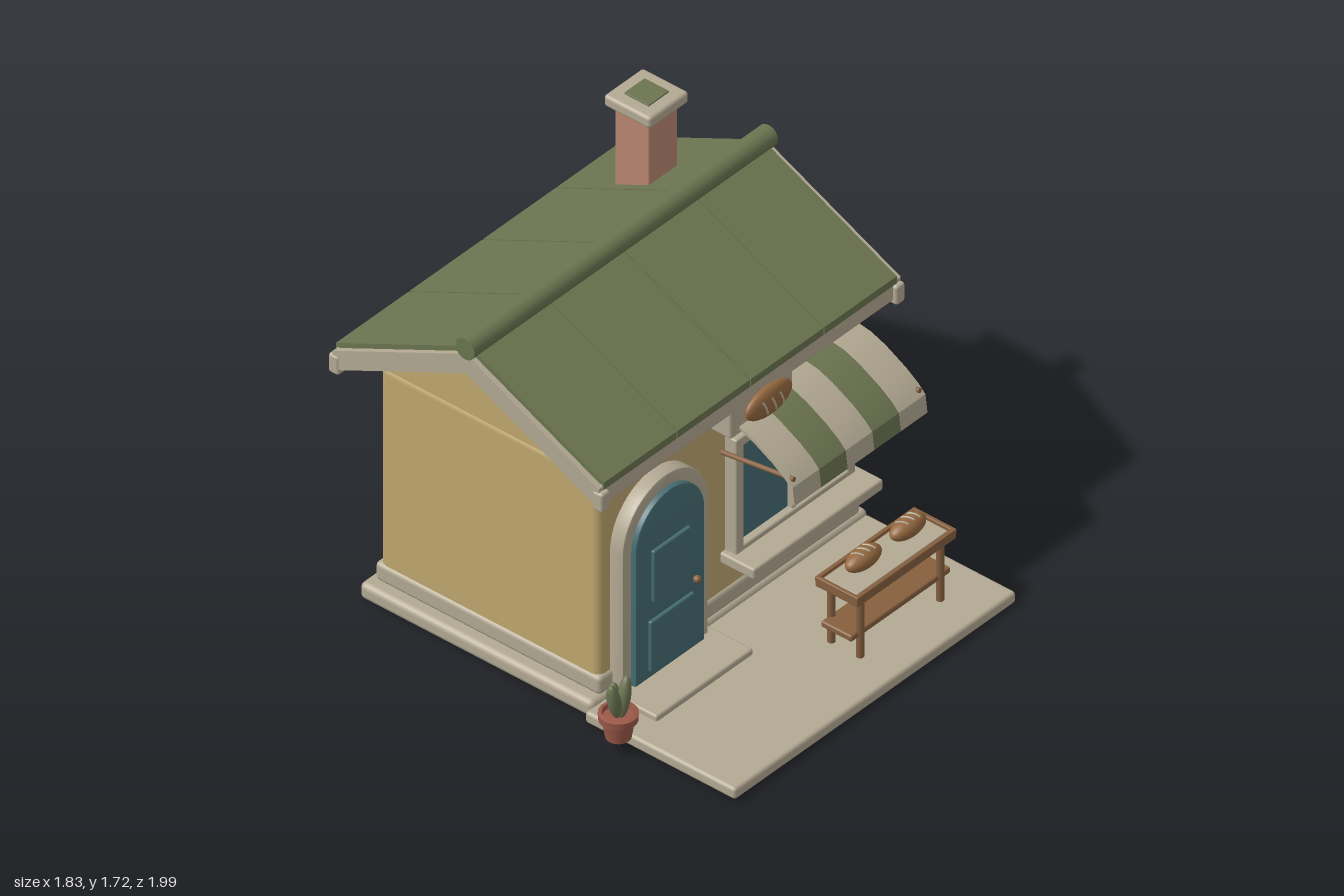
import * as THREE from 'three';
import { RoundedBoxGeometry } from 'three/addons/geometries/RoundedBoxGeometry.js';
import { toCreasedNormals } from 'three/addons/utils/BufferGeometryUtils.js';

const material = (name, color) => Object.assign(new THREE.MeshStandardMaterial({ color }), { name });
const wall = material('ochre plaster', 0xbea66e);
const trim = material('pale stone', 0xb3a993);
const green = material('olive green', 0x6b7450);
const teal = material('teal', 0x456d73);
const wood = material('wood', 0x86603f);
const crust = material('bread crust', 0x94683f);
const brick = material('chimney brick', 0xb98570);
const clay = material('terracotta', 0x9a5848);

function add(parent, name, geometry, mat) {
  const mesh = new THREE.Mesh(geometry, mat);
  mesh.name = name;
  parent.add(mesh);
  return mesh;
}

// Box from its limits on each axis, with softened edges
function box(parent, name, mat, [x0, x1], [y0, y1], [z0, z1], r = 0.008) {
  const size = [x1 - x0, y1 - y0, z1 - z0];
  const radius = Math.min(r, Math.min(...size) * 0.45);
  const mesh = add(parent, name, new RoundedBoxGeometry(...size, 2, radius), mat);
  mesh.position.set((x0 + x1) / 2, (y0 + y1) / 2, (z0 + z1) / 2);
  return mesh;
}

// Profile of [z, y] points swept along x from x0 to x1
function sweepX(parent, name, mat, points, x0, x1) {
  const shape = new THREE.Shape(points.map(p => new THREE.Vector2(...p)));
  const geo = new THREE.ExtrudeGeometry(shape, { depth: x1 - x0, bevelEnabled: false });
  geo.rotateY(-Math.PI / 2).translate(x1, 0, 0);
  return add(parent, name, toCreasedNormals(geo, 0.6), mat);
}

function rod(parent, name, mat, a, b, r) {
  const from = new THREE.Vector3(...a), dir = new THREE.Vector3(...b).sub(from);
  const mesh = add(parent, name, new THREE.CylinderGeometry(r, r, dir.length(), 12), mat);
  mesh.position.copy(from).addScaledVector(dir, 0.5);
  mesh.quaternion.setFromUnitVectors(new THREE.Vector3(0, 1, 0), dir.normalize());
  return mesh;
}

// Window facing +z, back at z = 0, sill resting on local y = 0
function makeWindow(name, w, h, border, depth, sillW, sillDepth, crossbar) {
  const g = new THREE.Group();
  g.name = name;
  const x = w / 2, ix = x - border;
  for (const s of [-1, 1]) {
    box(g, 'windowJamb', trim, [s * (x - border / 2) - border / 2, s * (x - border / 2) + border / 2], [0.04, h], [0, depth]);
  }
  box(g, 'windowHead', trim, [-x, x], [h - border, h], [0, depth]);
  box(g, 'windowBottomRail', trim, [-x, x], [0.045, 0.045 + border * 0.6], [0, depth]);
  box(g, 'windowGlass', teal, [-ix, ix], [0.05, h - border], [0, depth * 0.45], 0.001);
  box(g, 'windowMullion', trim, [-0.011, 0.011], [0.05, h - border], [0, depth * 0.85], 0.003);
  if (crossbar) box(g, 'windowCrossbar', trim, [-ix, ix], [h * 0.6 - 0.011, h * 0.6 + 0.011], [0, depth * 0.85], 0.003);
  box(g, 'windowSill', trim, [-sillW / 2, sillW / 2], [0, 0.05], [0, sillDepth], 0.01);
  return g;
}

// Loaf with slashes on its +z side
function makeBread(name, a, b, c) {
  const g = new THREE.Group();
  g.name = name;
  add(g, 'loaf', new THREE.SphereGeometry(1, 28, 18), crust).scale.set(a, b, c);
  for (const i of [-1, 0, 1]) {
    const points = [];
    for (let k = -3; k <= 3; k++) {
      const u = i * 0.36 - k * 0.035, v = k * 0.17;
      points.push(new THREE.Vector3(u * a, v * b, c * Math.sqrt(1 - u * u - v * v)));
    }
    add(g, 'breadSlash', new THREE.TubeGeometry(new THREE.CatmullRomCurve3(points), 10, 0.0045, 6), trim);
  }
  return g;
}

// Arch-topped outline standing on y = 0
function archPath(r, spring, Type) {
  const p = new Type();
  p.moveTo(-r, 0);
  p.lineTo(r, 0);
  p.lineTo(r, spring);
  p.absarc(0, spring, r, 0, Math.PI, false);
  p.lineTo(-r, 0);
  return p;
}

function makeDoor() {
  const g = new THREE.Group();
  g.name = 'door';
  const frame = archPath(0.235, 0.625, THREE.Shape);
  frame.holes.push(archPath(0.195, 0.615, THREE.Path));
  const frameGeo = new THREE.ExtrudeGeometry(frame, { depth: 0.055, bevelEnabled: true, bevelSize: 0.008, bevelThickness: 0.008, bevelSegments: 2, curveSegments: 20 });
  add(g, 'doorFrame', toCreasedNormals(frameGeo, 0.6), trim);
  const leafGeo = new THREE.ExtrudeGeometry(archPath(0.19, 0.61, THREE.Shape), { depth: 0.078, bevelEnabled: true, bevelSize: 0.006, bevelThickness: 0.008, bevelSegments: 2, curveSegments: 20 });
  add(g, 'doorLeaf', toCreasedNormals(leafGeo, 0.6), teal).position.y = 0.008;
  box(g, 'doorUpperPanel', teal, [-0.108, 0.105], [0.35, 0.59], [0.07, 0.1]);
  box(g, 'doorLowerPanel', teal, [-0.125, 0.125], [0.035, 0.27], [0.07, 0.1]);
  add(g, 'doorKnob', new THREE.SphereGeometry(0.016, 14, 10), wood).position.set(0.122, 0.338, 0.112);
  g.position.set(-0.405, 0.08, 0.25);
  return g;
}

function makeRoof() {
  const g = new THREE.Group();
  g.name = 'roof';
  const mid = -0.29, slope = 0.475;
  // Slanted strip on one side (s) of the ridge, between two ridge heights
  const strip = (s, y0, y1, reach) => {
    const p = [[mid, y0], [mid + s * reach, y0 - slope * reach], [mid + s * reach, y1 - slope * reach], [mid, y1]];
    return s > 0 ? p : p.reverse();
  };
  for (const s of [-1, 1]) {
    sweepX(g, 'roofDeck', green, strip(s, 1.4, 1.46, 0.64), -0.81, 0.845);
    for (let i = 0; i < 4; i++) {
      const x = -0.82 + i * 0.4175;
      sweepX(g, 'roofPanel', green, strip(s, 1.455, 1.488, 0.655), x + 0.003, x + 0.4145);
    }
    for (const x of [-0.84, 0.835]) {
      sweepX(g, 'bargeboard', trim, strip(s, 1.375, 1.465, 0.65), x, x + 0.04);
      const z = mid + s * 0.645;
      box(g, 'bargeboardEnd', trim, [x - 0.005, x + 0.045], [1.052, 1.14], [z - 0.025, z + 0.025], 0.012);
    }
    const z = mid + s * 0.63;
    box(g, 'eaveFascia', trim, [-0.82, 0.86], [1.068, 1.165], [z - 0.02, z + 0.02]);
  }
  rod(g, 'ridgeRoll', green, [-0.845, 1.49, mid], [0.88, 1.49, mid], 0.047).geometry =
    new THREE.CylinderGeometry(0.047, 0.047, 1.725, 24);
  return g;
}

function makeAwning() {
  const g = new THREE.Group();
  g.name = 'awning';
  const top = [[0.27, 0.998], [0.35, 0.985], [0.42, 0.958], [0.52, 0.903], [0.58, 0.86], [0.615, 0.825], [0.625, 0.745]];
  const under = top.map(([z, y], i) => i < 5 ? [z - 0.004, y - 0.013] : [z - 0.014, y]).reverse();
  for (let i = 0; i < 5; i++) {
    const x = -0.035 + i * 0.151;
    sweepX(g, 'awningStripe', i % 2 ? green : trim, [...under, ...top].reverse(), x, x + 0.1505);
  }
  for (const x of [-0.015, 0.7]) rod(g, 'awningArm', wood, [x, 0.8, 0.25], [x, 0.848, 0.605], 0.01);
  return g;
}

function makeTable() {
  const g = new THREE.Group();
  g.name = 'breadTable';
  box(g, 'tableTop', wood, [0.06, 0.625], [0.325, 0.358], [0.64, 0.85]);
  for (const z of [0.64, 0.832]) box(g, 'trayRim', wood, [0.06, 0.625], [0.35, 0.37], [z, z + 0.018], 0.004);
  for (const x of [0.06, 0.607]) box(g, 'trayRim', wood, [x, x + 0.018], [0.35, 0.37], [0.64, 0.85], 0.004);
  box(g, 'tableCloth', trim, [0.085, 0.6], [0.355, 0.363], [0.665, 0.825], 0.002);
  box(g, 'tableShelf', wood, [0.06, 0.625], [0.15, 0.178], [0.67, 0.82]);
  for (const x of [0.115, 0.57]) for (const z of [0.675, 0.815]) rod(g, 'tableLeg', wood, [x, 0.055, z], [x, 0.33, z], 0.016);
  for (const x of [0.215, 0.468]) {
    const loaf = makeBread('tableBread', 0.092, 0.045, 0.042);
    loaf.rotation.x = -Math.PI / 2;
    loaf.position.set(x, 0.42, 0.745);
    g.add(loaf);
  }
  return g;
}

function makePlant() {
  const g = new THREE.Group();
  g.name = 'pottedPlant';
  const profile = [[0, 0], [0.05, 0], [0.062, 0.075], [0.075, 0.08], [0.077, 0.112], [0.062, 0.115], [0.058, 0.095], [0, 0.095]];
  const pot = new THREE.LatheGeometry(profile.map(p => new THREE.Vector2(...p)), 24);
  add(g, 'pot', toCreasedNormals(pot, 0.6), clay);
  for (const [x, z, tilt, h] of [[-0.024, 0, 0.22, 0.085], [0.022, 0.008, -0.2, 0.09], [0, -0.025, 0, 0.06]]) {
    const leaf = add(g, 'plantLeaf', new THREE.SphereGeometry(1, 16, 12), green);
    leaf.scale.set(0.027, h, 0.027);
    leaf.position.set(x, 0.175, z);
    leaf.rotation.z = tilt;
  }
  g.position.set(-0.845, 0.06, 0.46);
  return g;
}

export function createModel() {
  const g = new THREE.Group();
  g.name = 'bakery';

  // Ground slabs, plinth and walls
  box(g, 'frontTerrace', trim, [-0.805, 0.795], [0, 0.053], [0.26, 0.995], 0.015);
  box(g, 'houseBase', trim, [-0.775, 0.8], [0, 0.075], [-0.87, 0.27], 0.025);
  box(g, 'doorStep', trim, [-0.68, -0.13], [0.04, 0.078], [0.25, 0.505], 0.01);
  box(g, 'plinth', trim, [-0.72, 0.765], [0.07, 0.155], [-0.84, 0.262], 0.02);
  box(g, 'walls', wall, [-0.71, 0.75], [0.06, 1.075], [-0.825, 0.25], 0.035);
  sweepX(g, 'gables', wall, [[0.255, 1.065], [0.255, 1.115], [-0.29, 1.385], [-0.83, 1.115], [-0.83, 1.065]].reverse(), -0.71, 0.75);

  g.add(makeRoof(), makeDoor(), makeAwning(), makeTable(), makePlant());

  // Chimney
  box(g, 'chimneyStack', brick, [0.47, 0.635], [1.2, 1.68], [-0.69, -0.522]);
  box(g, 'chimneyCap', trim, [0.44, 0.665], [1.665, 1.718], [-0.72, -0.492], 0.015);
  box(g, 'chimneyOpening', green, [0.495, 0.612], [1.715, 1.724], [-0.665, -0.545], 0.002);

  // Windows
  const shop = makeWindow('shopWindow', 0.68, 0.58, 0.045, 0.06, 0.735, 0.17, false);
  shop.position.set(0.34, 0.29, 0.25);
  const side = makeWindow('sideWindow', 0.45, 0.505, 0.036, 0.1, 0.52, 0.165, true);
  side.position.set(0.745, 0.35, -0.315);
  side.rotation.y = Math.PI / 2;
  const back = makeWindow('backWindow', 0.45, 0.465, 0.036, 0.1, 0.5, 0.17, true);
  back.position.set(0.02, 0.42, -0.82);
  back.rotation.y = Math.PI;
  g.add(shop, side, back);

  // Hanging bread sign
  box(g, 'signBoard', trim, [-0.085, 0.27], [0.945, 1.075], [0.24, 0.355], 0.012);
  const sign = makeBread('signBread', 0.13, 0.066, 0.032);
  sign.position.set(0.095, 1.047, 0.385);
  g.add(sign);
  return g;
}
